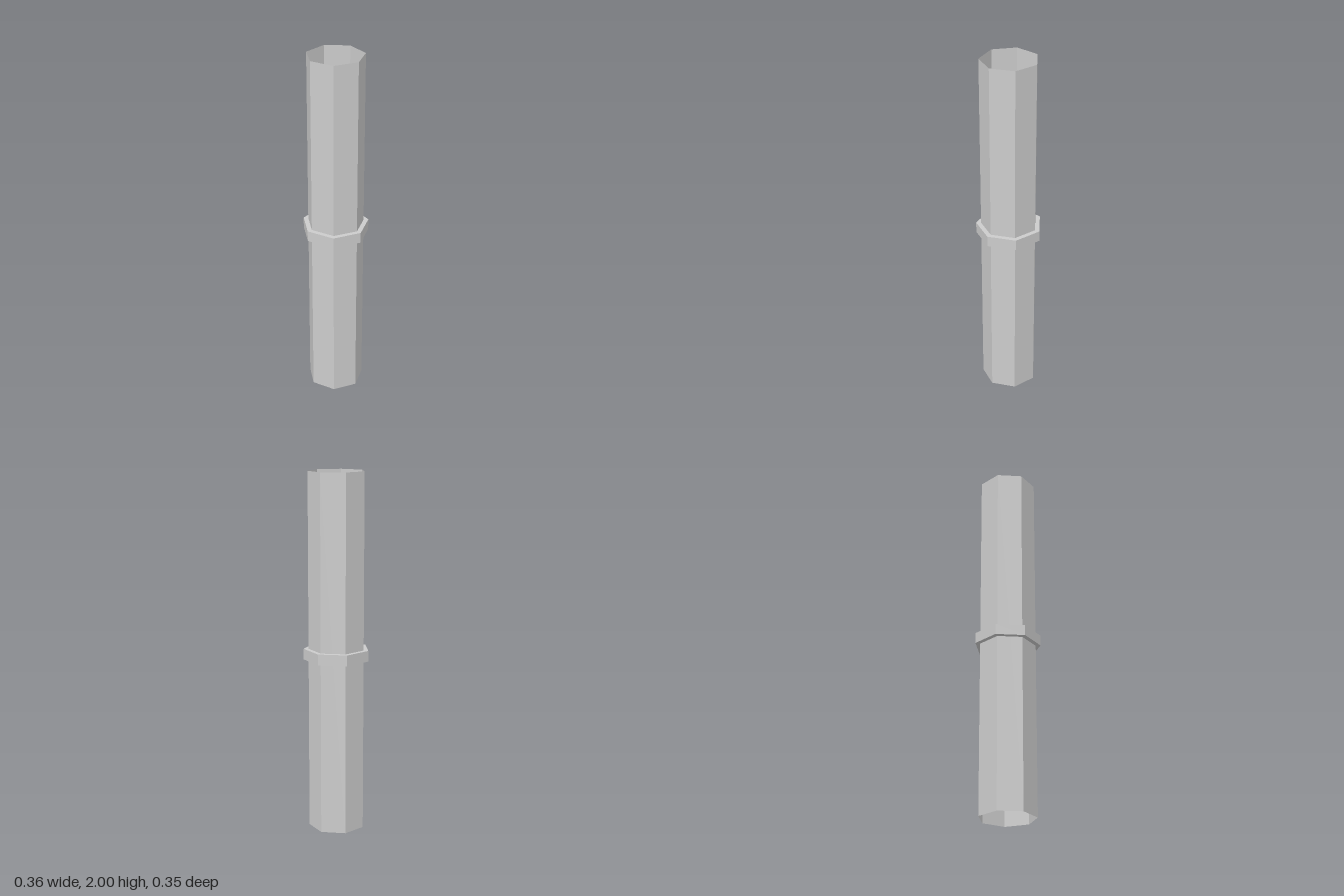
import * as THREE from 'three';

const SIDES = 7;
const TUBE_RADIUS = 0.157;
const COLLAR_RADIUS = 0.184;

export function createModel() {
  const group = new THREE.Group();
  group.name = 'collaredPipe';
  const material = new THREE.MeshStandardMaterial({
    color: 0xcccccc, flatShading: true, side: THREE.DoubleSide,
  });

  // Revolves a [radius, height] profile into seven flat sides, one corner at the back
  const addPart = (name, profile) => {
    const points = profile.map(([r, y]) => new THREE.Vector2(r, y));
    const mesh = new THREE.Mesh(new THREE.LatheGeometry(points, SIDES, Math.PI), material);
    mesh.name = name;
    mesh.position.z = 0.0078; // centres the seven-sided outline front to back
    group.add(mesh);
  };

  // Thin open-ended tube
  addPart('tube', [[TUBE_RADIUS, 0], [TUBE_RADIUS, 2]]);

  // Collar around the middle
  addPart('collar', [
    [TUBE_RADIUS, 0.97], [COLLAR_RADIUS, 0.97],
    [COLLAR_RADIUS, 1.03], [TUBE_RADIUS, 1.03],
  ]);

  return group;
}
